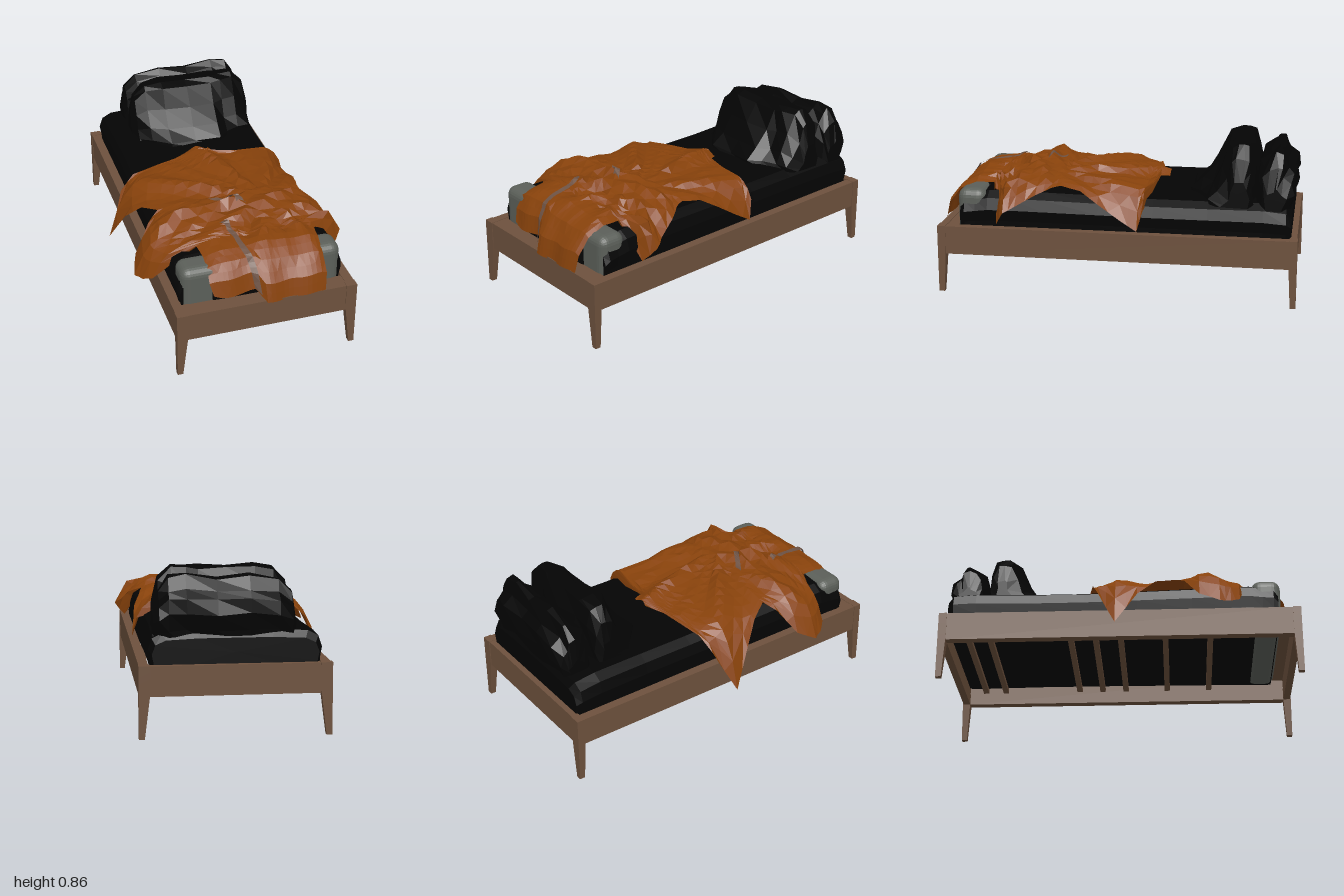
import * as THREE from 'three';
import { RoundedBoxGeometry } from 'three/addons/geometries/RoundedBoxGeometry.js';

const mat = (name, color, cloth) => new THREE.MeshStandardMaterial({
  name, color, flatShading: true, side: cloth ? THREE.DoubleSide : THREE.FrontSide });
const wood = mat('brown wood', 0x6d513d);
const black = mat('black bedding', 0x040404, true);
const grey = mat('grey sheet', 0x5b5f59);
const orange = mat('orange throw', 0x88420b, true);
const lining = mat('throw lining', 0x6e5345, true);

const V = (x, y, z) => new THREE.Vector3(x, y, z);
const { lerp, smoothstep, clamp } = THREE.MathUtils;

function mesh(name, geometry, material, parent) {
  const m = new THREE.Mesh(geometry, material);
  m.name = name;
  parent.add(m);
  return m;
}

function box(name, x0, x1, y0, y1, z0, z1, material, parent, radius = 0) {
  const size = [x1 - x0, y1 - y0, z1 - z0];
  const g = radius ? new RoundedBoxGeometry(...size, 3, radius) : new THREE.BoxGeometry(...size);
  mesh(name, g, material, parent).position.set((x0 + x1) / 2, (y0 + y1) / 2, (z0 + z1) / 2);
}

function fromTriangles(points) {
  const g = new THREE.BufferGeometry().setFromPoints(points);
  g.computeVertexNormals();
  return g;
}

// Skins a list of closed rings and caps both ends
function loft(rings) {
  const out = [];
  const n = rings[0].length;
  for (let i = 0; i < rings.length - 1; i++) {
    for (let j = 0; j < n; j++) {
      const k = (j + 1) % n, a = rings[i], b = rings[i + 1];
      out.push(a[j], a[k], b[k], a[j], b[k], b[j]);
    }
  }
  for (const [ring, flip] of [[rings[0], true], [rings.at(-1), false]]) {
    const c = ring.reduce((s, p) => s.add(p), V(0, 0, 0)).divideScalar(n);
    ring.forEach((p, j) => {
      const q = ring[(j + 1) % n];
      out.push(c, flip ? q : p, flip ? p : q);
    });
  }
  return fromTriangles(out);
}

// Tapered leg: the two inner faces slope in below the rails
function leg(sx, sz) {
  const g = new THREE.BoxGeometry(0.06, 0.38, 0.045, 1, 12, 1);
  const p = g.attributes.position;
  for (let i = 0; i < p.count; i++) {
    const y = p.getY(i) + 0.19;
    const taper = 1 - clamp(y / 0.24, 0, 1);
    if (p.getX(i) * sx < 0) p.setX(i, p.getX(i) + sx * 0.03 * taper);
    if (p.getZ(i) * sz < 0) p.setZ(i, p.getZ(i) + sz * 0.014 * taper);
  }
  g.computeVertexNormals();
  g.translate(0.03 + sx * 0.47, 0.19, sz * 0.97);
  return g;
}

function buildFrame(parent) {
  const f = new THREE.Group();
  f.name = 'bedFrame';
  parent.add(f);
  for (const sx of [-1, 1]) {
    for (const sz of [-1, 1]) mesh('leg', leg(sx, sz), wood, f);
    const x = 0.03 + sx * 0.472;
    box('sideRail', x - 0.025, x + 0.025, 0.22, 0.378, -0.95, 0.95, wood, f);
  }
  for (const s of [-1, 1]) {
    box('endRail', -0.42, 0.48, 0.22, 0.378, s * 0.968 - 0.02, s * 0.968 + 0.02, wood, f);
  }
  box('footLedge', -0.42, 0.48, 0.345, 0.375, 0.885, 0.95, wood, f);
  for (const z of [-0.85, -0.73, -0.28, -0.14, 0, 0.25, 0.5]) {
    box('slat', -0.43, 0.49, 0.29, 0.315, z - 0.016, z + 0.016, wood, f);
  }
}

// Mattress and its dark cover, one cross-section repeated along z
function buildMattress(parent) {
  const profile = [[-0.44, 0.315], [0.44, 0.315], [0.445, 0.4], [0.455, 0.46], [0.435, 0.52], [0.38, 0.55],
    [0.2, 0.56], [-0.2, 0.56], [-0.38, 0.55], [-0.435, 0.52], [-0.455, 0.46], [-0.445, 0.4]];
  const stations = [[-0.955, 0.95, 0.8], [-0.925, 0.99, 0.95], [-0.8, 0.98, 1], [-0.5, 0.96, 0.98], [-0.2, 0.96, 0.98],
    [0.1, 0.97, 1.01], [0.4, 0.98, 1.04], [0.6, 0.99, 1.06], [0.72, 1, 1.06], [0.79, 1, 1], [0.85, 1.01, 0.95],
    [0.875, 0.99, 0.78]];
  mesh('mattress', loft(stations.map(([z, sx, sy]) =>
    profile.map(([x, y]) => V(0.027 + x * sx, 0.315 + (y - 0.315) * sy, z)))), black, parent);
  // pale sheet showing at the foot corners, dark cover tucked between them
  box('sheetEnd', -0.415, 0.47, 0.305, 0.58, 0.73, 0.89, grey, parent, 0.05);
  box('coverFold', -0.28, 0.34, 0.32, 0.575, 0.7, 0.897, black, parent, 0.06);
}

// Pillow: a side profile of [z, y] swept across x, scaled about a pivot
function pillow(name, profile, stations, pz, py, parent) {
  const rings = stations.map(([x, sy, sz], i) => profile.map(([z, y], j) => {
    const w = 0.01 * Math.sin(i * 2.3 + j * 1.7);
    return V(x, py + (y - py) * sy + w * 0.4, pz + (z - pz) * sz + w);
  }).reverse());
  mesh(name, loft(rings), black, parent);
}

function buildPillows(parent) {
  pillow('frontPillow',
    [[-0.38, 0.53], [-0.39, 0.57], [-0.46, 0.63], [-0.53, 0.73], [-0.59, 0.84], [-0.64, 0.86], [-0.7, 0.855],
      [-0.73, 0.85], [-0.765, 0.76], [-0.78, 0.65], [-0.78, 0.53]],
    [[-0.29, 0.42, 0.3], [-0.265, 0.76, 0.55], [-0.2, 0.95, 0.72], [-0.1, 1, 0.98], [0.05, 0.98, 1],
      [0.2, 0.98, 1], [0.26, 0.99, 0.8], [0.34, 1, 0.7], [0.41, 0.8, 0.6], [0.44, 0.45, 0.35]],
    -0.68, 0.52, parent);
  pillow('backPillow',
    [[-0.76, 0.5], [-0.765, 0.68], [-0.78, 0.76], [-0.83, 0.81], [-0.87, 0.84], [-0.9, 0.83], [-0.925, 0.76],
      [-0.97, 0.72], [-0.98, 0.64], [-0.95, 0.55], [-0.93, 0.46]],
    [[-0.29, 0.35, 0.5], [-0.27, 0.7, 0.8], [-0.2, 0.9, 0.95], [-0.05, 0.97, 1], [0.12, 0.93, 0.97],
      [0.28, 1, 1], [0.37, 0.96, 0.95], [0.42, 0.75, 0.8], [0.45, 0.4, 0.5]],
    -0.86, 0.51, parent);
}

// Rumpled throw: rows of [z, left x, left y, right x, right y, crown y]
const THROW = [
  [-0.25, -0.03, 0.6, 0.08, 0.6, 0.6], [-0.2, -0.13, 0.59, 0.1, 0.6, 0.615],
  [-0.15, -0.4, 0.56, 0.49, 0.5, 0.62], [-0.12, -0.49, 0.48, 0.52, 0.39, 0.625],
  [-0.02, -0.585, 0.25, 0.51, 0.45, 0.635], [0.1, -0.51, 0.45, 0.49, 0.53, 0.64],
  [0.2, -0.44, 0.56, 0.45, 0.59, 0.645], [0.31, -0.38, 0.6, 0.43, 0.61, 0.65],
  [0.36, -0.45, 0.56, 0.45, 0.6, 0.66], [0.44, -0.55, 0.43, 0.5, 0.57, 0.68],
  [0.55, -0.58, 0.37, 0.55, 0.51, 0.67], [0.61, -0.54, 0.38, 0.585, 0.48, 0.65],
  [0.66, -0.5, 0.41, 0.51, 0.4, 0.64], [0.7, -0.28, 0.6, 0.38, 0.6, 0.635],
  [0.8, -0.27, 0.59, 0.37, 0.6, 0.63], [0.87, -0.27, 0.57, 0.36, 0.57, 0.605],
  [0.92, -0.27, 0.5, 0.36, 0.5, 0.53], [0.94, -0.25, 0.43, 0.35, 0.4, 0.43]];

function throwRow(u) {
  const f = u * (THROW.length - 1);
  const i = Math.min(Math.floor(f), THROW.length - 2);
  return THROW[i].map((v, k) => lerp(v, THROW[i + 1][k], f - i));
}

const crease = (v) => 1 - 2 * Math.abs(Math.sin(v));

function throwPoint(u, t) {
  const [z, xl, yl, xr, yr, crown] = throwRow(u);
  const x = lerp(xl, xr, t);
  // creases fan out from a gathered point and bunch up across the middle
  const r = Math.hypot(x - 0.2, z - 0.42), a = Math.atan2(z - 0.42, x - 0.2);
  const fan = (crease(a * 5) + 0.5 * crease(a * 9 + 1)) * 0.017 * smoothstep(r, 0.02, 0.3);
  const bunch = 0.014 * crease(z * 22 + x * 11) * smoothstep(z, 0.3, 0.42) * (1 - smoothstep(z, 0.58, 0.7));
  const fold = fan * (z > 0.7 ? 0.4 : 1) + bunch;
  let y = crown - (x < 0 ? 0.19 : 0.12) * (x - 0.05) ** 2 + fold;
  if (z < 0.88) y = Math.max(y, 0.575 + 0.015 * smoothstep(z, -0.2, 0.5));
  const edge = Math.abs(2 * t - 1);
  y = lerp(y, t < 0.5 ? yl : yr, edge ** 8);
  // the foot end hangs lower and further out on one half
  const hang = smoothstep(z, 0.8, 0.94) * smoothstep(x, -0.03, 0.03);
  const ripple = z > 0.88 ? 0.006 * Math.sin(x * 30) : 0;
  return V(x + fold * 0.4, y - (0.07 - 0.12 * x) * hang, z + 0.05 * hang + ripple);
}

function sheet(rows, cols, at) {
  const out = [];
  for (let i = 0; i < rows; i++) {
    for (let j = 0; j < cols; j++) {
      const [a, b, c, d] = [[0, 0], [1, 0], [1, 1], [0, 1]].map(([p, q]) => at((i + p) / rows, (j + q) / cols));
      if ((i + j) % 2) out.push(a, b, c, a, c, d);
      else out.push(a, b, d, b, c, d);
    }
  }
  return fromTriangles(out);
}

// Strip of turned-over lining lying on the throw from row u0 to row u1
function liningStrip(u0, u1, x0, x1, width, parent) {
  mesh('throwLining', sheet(20, 1, (s, e) => {
    const u = lerp(u0, u1, s);
    const [, xl, , xr] = throwRow(u);
    const x = lerp(x0, x1, s) + (e - 0.5) * width;
    return throwPoint(u, (x - xl) / (xr - xl)).add(V(0, 0.01, 0.008));
  }), lining, parent);
}

function buildThrow(parent) {
  mesh('throwBlanket', sheet(34, 24, throwPoint), orange, parent);
  liningStrip(0.63, 1, -0.1, -0.015, 0.032, parent);
  liningStrip(0.47, 0.54, -0.08, 0.06, 0.05, parent);
}

export function createModel() {
  const bed = new THREE.Group();
  bed.name = 'bed';
  buildFrame(bed);
  buildMattress(bed);
  buildPillows(bed);
  buildThrow(bed);
  return bed;
}
